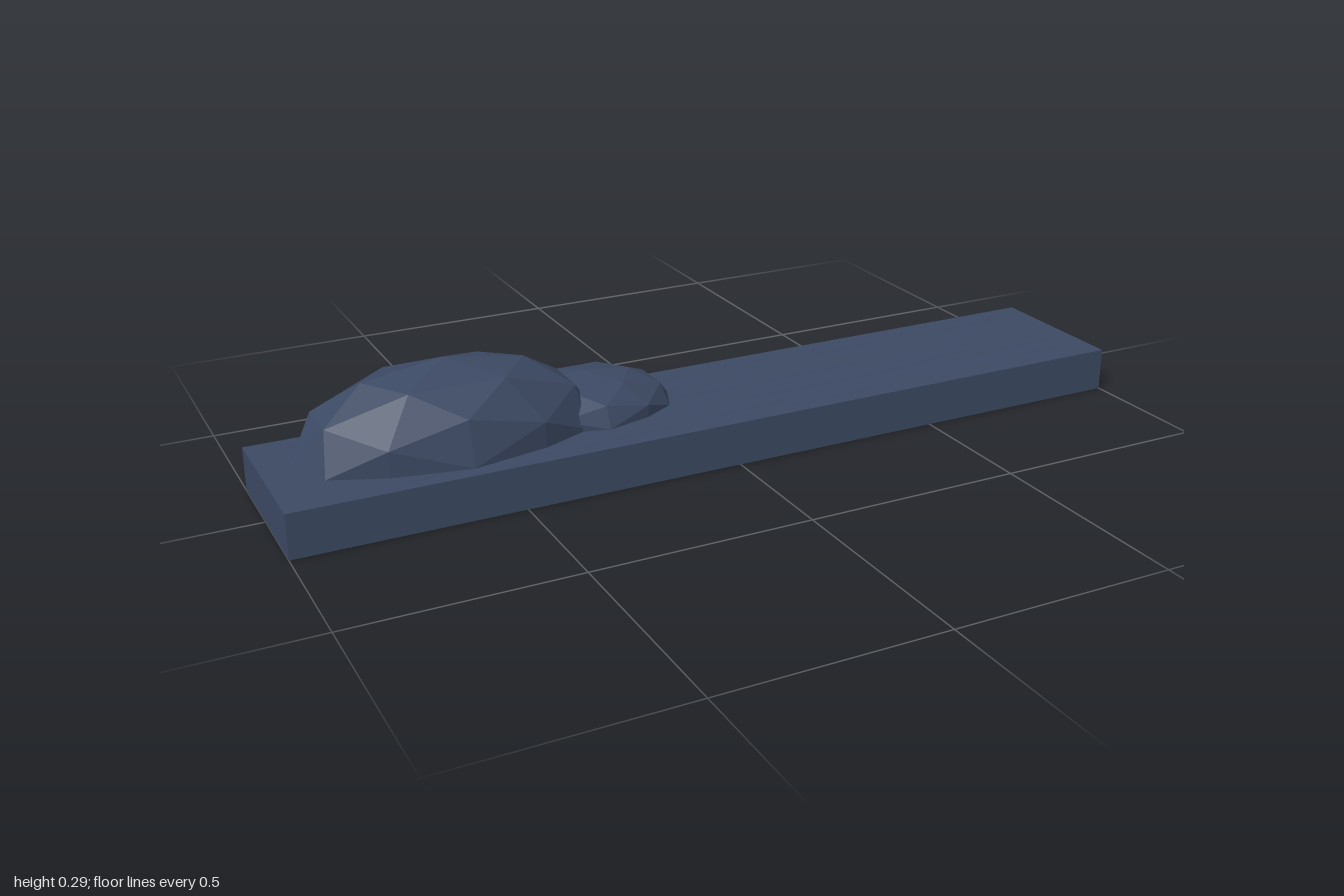
import * as THREE from 'three';

const DECK = 0.1;

export function createModel() {
  const model = new THREE.Group();
  const slate = new THREE.MeshStandardMaterial({
    color: 0x3c4963, flatShading: true, side: THREE.DoubleSide,
  });
  slate.name = 'slate blue';

  const add = (name, geometry, x, y, z) => {
    const mesh = new THREE.Mesh(geometry, slate);
    mesh.name = name;
    mesh.position.set(x, y, z);
    model.add(mesh);
  };

  let seed = 7;
  const random = () => (seed = (seed * 16807) % 2147483647) / 2147483647;

  // Four side walls: a box without its top and bottom faces
  const walls = new THREE.BoxGeometry(2, DECK, 0.36);
  const index = Array.from(walls.index.array);
  walls.setIndex([...index.slice(0, 12), ...index.slice(24)]);
  walls.clearGroups();
  add('sideWalls', walls, 0, DECK / 2, 0.01);

  // Top surface with faint ripples running lengthwise, level at the rim
  const deck = new THREE.PlaneGeometry(2, 0.36, 11, 14).rotateX(-Math.PI / 2);
  const p = deck.attributes.position;
  for (let i = 0; i < p.count; i++) {
    const inside = Math.abs(p.getX(i)) < 0.99 && Math.abs(p.getZ(i)) < 0.179;
    if (inside) p.setY(i, (random() - 0.4) * 0.003);
  }
  deck.computeVertexNormals();
  add('rippledTop', deck, 0, DECK, 0.01);

  // Faceted mound: a low-poly ball with its lower half pressed flat
  const mound = (name, x, z, rx, height, rz) => {
    const g = new THREE.IcosahedronGeometry(1, 1);
    const v = g.attributes.position;
    for (let i = 0; i < v.count; i++) v.setY(i, Math.max(v.getY(i), 0));
    g.scale(rx, height, rz);
    g.computeVertexNormals();
    add(name, g, x, DECK + 0.002, z);
  };
  mound('largeMound', -0.6, -0.015, 0.34, 0.186, 0.176);
  mound('smallMound', -0.27, -0.045, 0.205, 0.089, 0.146);

  return model;
}
